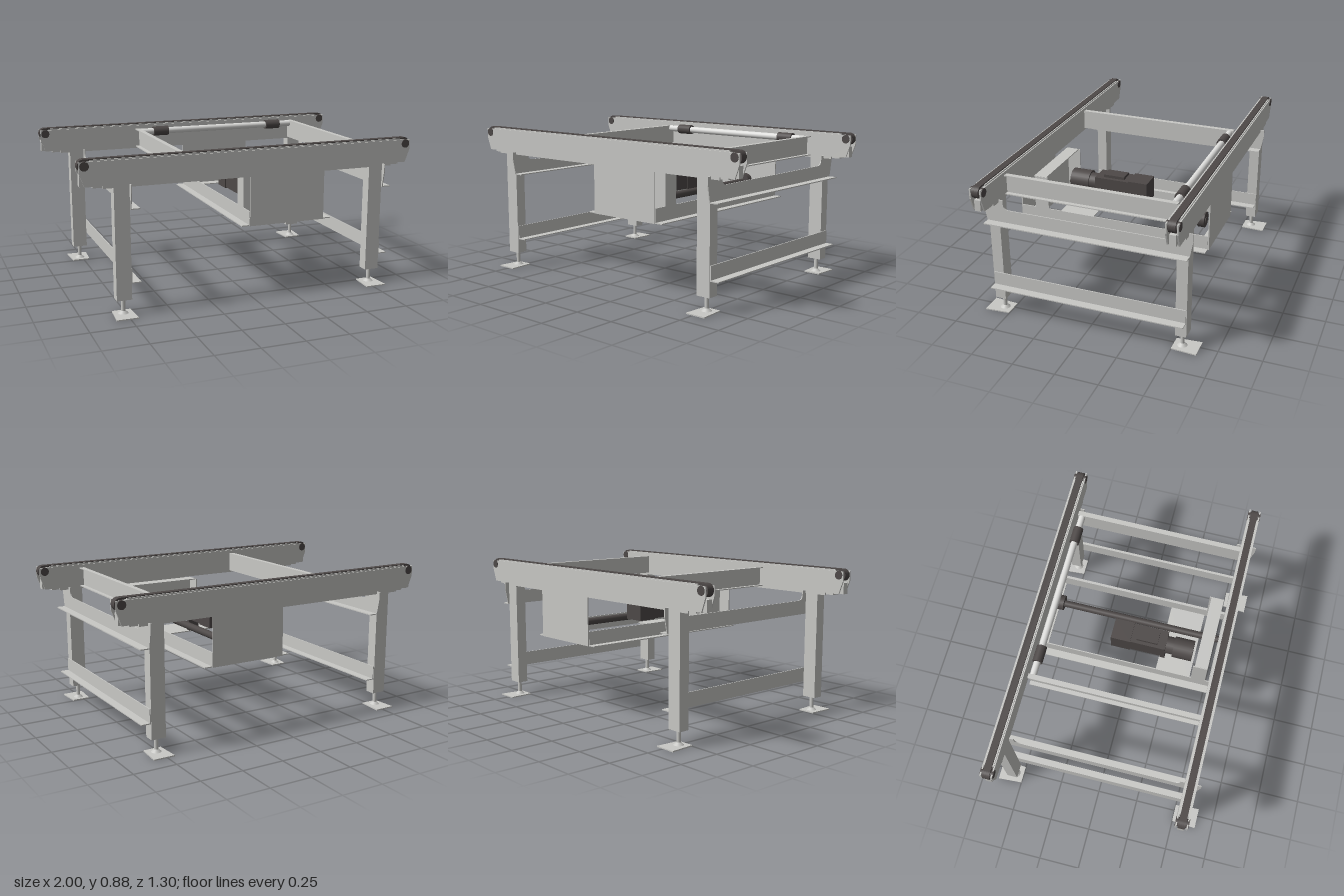
import * as THREE from 'three';

const mat = (name, color) => {
  const m = new THREE.MeshStandardMaterial({ color });
  m.name = name;
  return m;
};

export function createModel() {
  const model = new THREE.Group();
  model.name = 'twinStrandConveyor';
  const steel = mat('light grey steel', 0xc8c8c5);
  const dark = mat('dark grey', 0x4e4948);
  const bright = mat('bright steel', 0xdededc);

  const add = (name, geo, material, parent = model) => {
    const m = new THREE.Mesh(geo, material);
    m.name = name;
    parent.add(m);
    return m;
  };
  // Box given by its minimum and maximum on each axis
  const box = (name, material, x0, x1, y0, y1, z0, z1, parent) => {
    const m = add(name, new THREE.BoxGeometry(x1 - x0, y1 - y0, Math.abs(z1 - z0)), material, parent);
    m.position.set((x0 + x1) / 2, (y0 + y1) / 2, (z0 + z1) / 2);
    return m;
  };
  // Cylinder along a chosen axis
  const rod = (name, material, r, len, axis, x, y, z, parent) => {
    const g = new THREE.CylinderGeometry(r, r, len, 28);
    if (axis === 'x') g.rotateZ(Math.PI / 2);
    if (axis === 'z') g.rotateX(Math.PI / 2);
    const m = add(name, g, material, parent);
    m.position.set(x, y, z);
    return m;
  };
  const plate = (shape, depth) =>
    new THREE.ExtrudeGeometry(shape, { depth, bevelEnabled: false, curveSegments: 10 });
  const polygon = (pts) => new THREE.Shape(pts.map(([x, y]) => new THREE.Vector2(x, y)));
  // Closed loop with round ends, used for the running belt
  const stadium = (Path, h, r, y) => {
    const p = new Path();
    p.moveTo(-h, y - r);
    p.lineTo(h, y - r);
    p.absarc(h, y, r, -Math.PI / 2, Math.PI / 2, false);
    p.lineTo(-h, y + r);
    p.absarc(-h, y, r, Math.PI / 2, Math.PI * 1.5, false);
    return p;
  };

  // Side rails with belt and end wheels
  const half = [[0.74, 0.72], [0.87, 0.72], [0.87, 0.735], [0.965, 0.735], [0.993, 0.81], [0.993, 0.868]];
  const railShape = polygon([...half, ...half.map(([x, y]) => [-x, y]).reverse()]);
  for (const s of [1, -1]) {
    const rail = new THREE.Group();
    rail.name = s > 0 ? 'frontRail' : 'backRail';
    rail.position.z = s * 0.55;
    model.add(rail);
    for (const z of [-0.035, 0.027]) {
      add('railSidePlate', plate(railShape, 0.008), steel, rail).position.z = z;
    }
    box('railCore', steel, -0.92, 0.92, 0.725, 0.815, -0.027, 0.027, rail);
    box('beltBed', steel, -0.92, 0.92, 0.815, 0.868, -0.027, 0.027, rail);
    for (const z of [-0.0255, 0.0255]) {
      box('beltGuide', steel, -0.93, 0.93, 0.86, 0.876, z - 0.0035, z + 0.0035, rail);
    }
    const loop = stadium(THREE.Shape, 0.963, 0.035, 0.845);
    loop.holes.push(stadium(THREE.Path, 0.963, 0.025, 0.845));
    add('belt', plate(loop, 0.04), dark, rail).position.z = -0.02;
    for (const x of [-0.963, 0.963]) {
      rod('endWheel', dark, 0.026, 0.04, 'z', x, 0.845, 0, rail);
      rod('wheelHub', dark, 0.025, 0.076, 'z', x, 0.845, 0, rail);
      box('endBlock', steel, x - 0.025, x + 0.015, 0.735, 0.8, -0.018, 0.018, rail);
    }

    // Drive box panel under the rail, with a bottom lip
    box('drivePanel', steel, -0.03, 0.43, 0.435, 0.735, s * 0.578, s * 0.585);
    box('panelLip', steel, -0.03, 0.43, 0.435, 0.441, s * 0.515, s * 0.578);

    // Legs and levelling feet
    for (const x of [-0.767, 0.768]) {
      box('leg', steel, x - 0.043, x + 0.043, 0.09, 0.735, s * 0.52, s * 0.584);
      rod('footStem', steel, 0.012, 0.09, 'y', x, 0.05, s * 0.55);
      const cone = add('footCone', new THREE.CylinderGeometry(0.012, 0.03, 0.016, 24), steel);
      cone.position.set(x, 0.014, s * 0.55);
      const foot = polygon([[-0.052, 0.5], [0.052, 0.5], [0.062, 0.648], [-0.062, 0.648]]);
      const pad = add('footPlate', plate(foot, 0.007).rotateX(s * Math.PI / 2), steel);
      pad.position.set(x, s > 0 ? 0.007 : 0, 0);
    }
  }

  // End braces: notched upper angle and plain lower angle
  const brace = new THREE.Shape();
  brace.moveTo(-0.592, 0.595);
  brace.lineTo(0.592, 0.595);
  brace.lineTo(0.61, 0.69);
  brace.lineTo(0.61, 0.735);
  brace.lineTo(0.49, 0.735);
  brace.lineTo(0.49, 0.715);
  brace.quadraticCurveTo(0.49, 0.678, 0.453, 0.678);
  brace.lineTo(-0.453, 0.678);
  brace.quadraticCurveTo(-0.49, 0.678, -0.49, 0.715);
  brace.lineTo(-0.49, 0.735);
  brace.lineTo(-0.61, 0.735);
  brace.lineTo(-0.61, 0.69);
  for (const x of [-0.724, 0.811]) {
    add('upperBraceWeb', plate(brace, 0.006).rotateY(-Math.PI / 2), steel).position.x = x + 0.006;
    box('upperBraceLip', steel, x, x + 0.055, 0.595, 0.601, -0.592, 0.592);
    box('lowerBraceWeb', steel, x, x + 0.006, 0.18, 0.265, -0.58, 0.58);
    box('lowerBraceLip', steel, x, x + 0.055, 0.18, 0.186, -0.58, 0.58);
  }

  // Upper cross channels, open outwards
  for (const [x, d] of [[-0.352, -1], [0.707, 1]]) {
    const span = (w) => (d > 0 ? [x, x + w] : [x - w, x]);
    box('crossWeb', steel, ...span(0.006), 0.733, 0.85, -0.495, 0.515);
    for (const y of [0.733, 0.844]) box('crossFlange', steel, ...span(0.03), y, y + 0.006, -0.495, 0.515);
  }

  // Drive box cross angles
  for (const [x, d] of [[-0.03, -1], [0.43, 1]]) {
    box('driveAngleWeb', steel, x - 0.003, x + 0.003, 0.435, 0.52, -0.578, 0.578);
    box('driveAngleLip', steel, Math.min(x, x + d * 0.048), Math.max(x, x + d * 0.048), 0.435, 0.441, -0.578, 0.578);
    box('driveBoxCheek', steel, x - 0.003, x + 0.003, 0.441, 0.72, 0.405, 0.49);
  }
  box('driveBoxWeb', steel, -0.03, 0.43, 0.441, 0.72, 0.486, 0.492);
  box('driveBoxTop', steel, -0.03, 0.43, 0.716, 0.722, 0.415, 0.492);
  box('motorPlate', steel, -0.027, 0.427, 0.437, 0.443, 0.18, 0.395);

  // Guide roller with two sleeves
  rod('rollerTube', bright, 0.02, 1.06, 'x', 0.178, 0.832, -0.47);
  for (const x of [-0.22, 0.575]) rod('rollerSleeve', dark, 0.03, 0.1, 'x', x, 0.832, -0.47);

  // Drive shaft and bearing
  rod('driveShaft', dark, 0.021, 1.03, 'z', 0.252, 0.524, 0);
  rod('shaftBearing', dark, 0.046, 0.04, 'z', 0.252, 0.529, -0.492);

  // Gear motor
  box('gearbox', dark, 0.05, 0.18, 0.525, 0.655, -0.12, 0.0);
  box('motorBody', dark, 0.055, 0.178, 0.53, 0.648, 0.0, 0.215);
  box('terminalBox', dark, 0.075, 0.155, 0.64, 0.665, 0.035, 0.165);
  rod('motorNeck', dark, 0.053, 0.05, 'z', 0.115, 0.59, 0.238);
  rod('motorFanCover', dark, 0.064, 0.12, 'z', 0.112, 0.59, 0.322);
  box('motorFoot', dark, 0.08, 0.15, 0.443, 0.54, 0.185, 0.215);

  return model;
}
